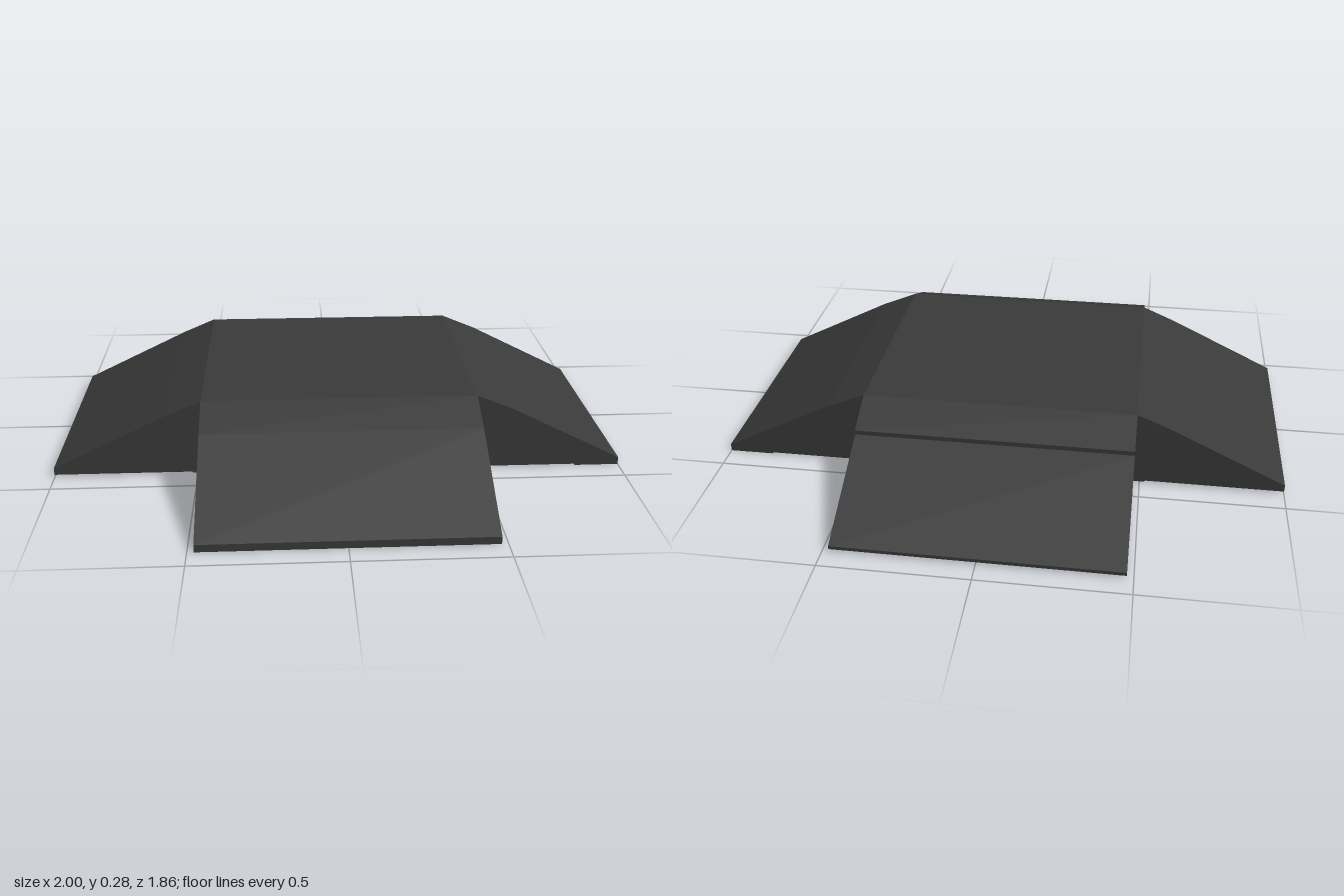
import * as THREE from 'three';

const HALF_X = 0.478, HALF_Z = 0.415, TOP = 0.28;

export function createModel() {
  const group = new THREE.Group();
  const charcoal = new THREE.MeshStandardMaterial({ color: 0x3a3a3a, flatShading: true });
  charcoal.name = 'charcoal';

  // Central raised block
  const deck = new THREE.Mesh(new THREE.BoxGeometry(HALF_X * 2, TOP - 0.005, HALF_Z * 2), charcoal);
  deck.name = 'deck';
  deck.position.y = (TOP + 0.005) / 2;
  group.add(deck);

  // Sloping arm: profile of [outward, height] points, extruded across its width
  function addRamp(name, profile, width, angle) {
    const shape = new THREE.Shape(profile.map(([x, y]) => new THREE.Vector2(x, y)));
    const geometry = new THREE.ExtrudeGeometry(shape, { depth: width, bevelEnabled: false });
    geometry.translate(0, 0, -width / 2);
    geometry.rotateY(angle);
    const ramp = new THREE.Mesh(geometry, charcoal);
    ramp.name = name;
    group.add(ramp);
  }

  addRamp('leftRamp', [
    [HALF_X, 0.005], [0.84, 0.005], [0.845, 0], [1, 0], [1, 0.027], [0.61, 0.225], [HALF_X, TOP],
  ], HALF_Z * 2, 0);
  addRamp('rightRamp', [
    [HALF_X, 0.005], [0.515, 0.005], [0.52, 0.01], [1, 0.01], [1, 0.035], [0.6, 0.228], [HALF_X, TOP],
  ], HALF_Z * 2, Math.PI);
  addRamp('frontRamp', [
    [HALF_Z, 0.007], [0.78, 0.007], [0.785, 0.002], [0.928, 0.002], [0.928, 0.028], [0.555, 0.222], [HALF_Z, TOP],
  ], HALF_X * 2, -Math.PI / 2);
  // The rear ramp has a small step down below its crest
  addRamp('backRamp', [
    [HALF_Z, 0.01], [0.928, 0.01], [0.928, 0.022], [0.55, 0.204], [0.55, 0.22], [HALF_Z, TOP],
  ], HALF_X * 2, Math.PI / 2);

  return group;
}
